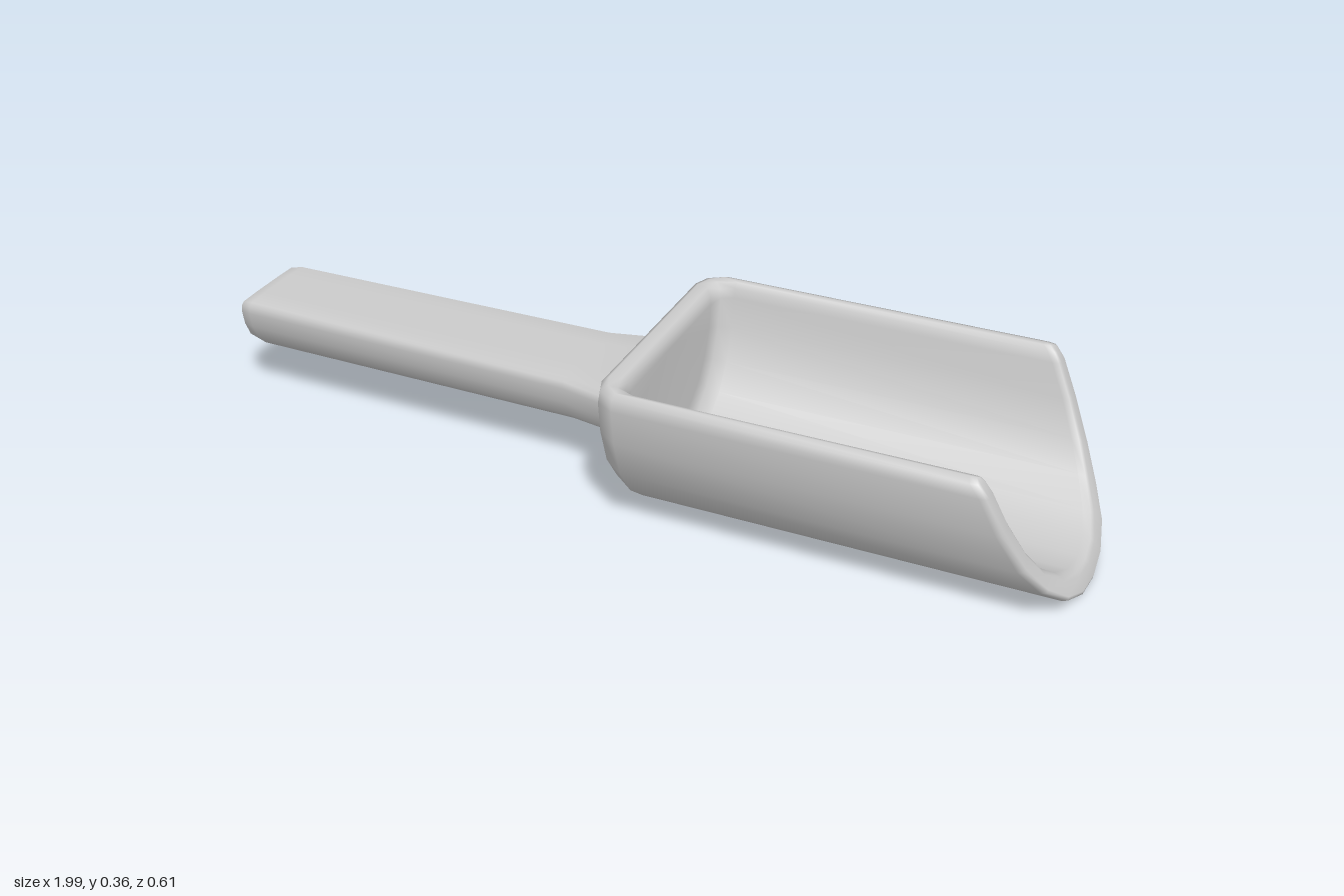
import * as THREE from 'three';
import { mergeVertices } from 'three/addons/utils/BufferGeometryUtils.js';

// Skin closed rings of [x, y, z] points; optionally bridge the two halves of the last ring.
function loft(rings, bridgeEnd = false) {
  const n = rings[0].length, index = [];
  for (let k = 0; k < rings.length - 1; k++) {
    for (let j = 0; j < n; j++) {
      const a = k * n + j, b = k * n + (j + 1) % n;
      index.push(a, a + n, b, b, a + n, b + n);
    }
  }
  if (bridgeEnd) {
    const o = (rings.length - 1) * n;
    for (let j = 0; j < n / 2 - 1; j++) {
      const a = o + j, b = a + 1, d = o + n - 1 - j, c = d - 1;
      index.push(a, d, b, b, d, c);
    }
  }
  let geo = new THREE.BufferGeometry();
  geo.setAttribute('position', new THREE.Float32BufferAttribute(rings.flat(2), 3));
  geo.setIndex(index);
  geo = mergeVertices(geo, 1e-5);
  geo.computeVertexNormals();
  return geo;
}

// Mirror a half profile (rim to keel) into a full U running from -z to +z.
const mirrorU = half => [
  ...half.map(([z, y]) => [-z, y]),
  ...half.slice(0, -1).reverse(),
];

// Piecewise-linear front lip: x for a given height.
const LIP = [[0, 1], [0.035, 0.985], [0.12, 0.928], [0.22, 0.877], [0.3, 0.842], [0.345, 0.82], [0.365, 0.8]];
function lipX(y) {
  const i = Math.max(1, LIP.findIndex(p => p[0] >= y));
  const [y0, x0] = LIP[i - 1], [y1, x1] = LIP[i];
  return x0 + (x1 - x0) * (y - y0) / (y1 - y0);
}

function bowlGeometry() {
  const outer = mirrorU([[0.285, 0.364], [0.302, 0.357], [0.305, 0.33], [0.295, 0.25], [0.265, 0.16],
    [0.215, 0.09], [0.155, 0.042], [0.08, 0.012], [0, 0.002]]);
  const inner = mirrorU([[0.276, 0.362], [0.268, 0.35], [0.262, 0.33], [0.25, 0.26], [0.222, 0.185],
    [0.183, 0.127], [0.125, 0.083], [0.065, 0.058], [0, 0.05]]);
  const crest = [0.015, 0.004];

  // Back wall: shrink the U towards the centre line, keeping the rounded top edge
  const shrink = (u, x, s, dir) => u.map(([z, y], j) => {
    const fromRim = Math.min(j, u.length - 1 - j);
    const shift = s < 1 ? dir * (crest[fromRim] ?? 0) : 0;
    return [x + shift, y >= 0.33 ? y : 0.33 + (y - 0.33) * s, z * s];
  });
  const rings = [
    [0, 0, 0.055, 0],
    [0, 0.8, 0.055, 0.8],
    [0.014, 0.92, 0.063, 0.94],
    [0.055, 1, 0.09, 1],
  ].map(([xo, so, xi, si]) => [...shrink(outer, xo, so, 1), ...shrink(inner, xi, si, -1).reverse()]);

  // Front lip: slanted cut with a softened edge
  for (const [inset, t] of [[0.018, 0], [0.004, 0.08], [0, 0.22]]) {
    const blend = (u, v) => u.map(([z, y], j) => {
      const zz = z + (v[j][0] - z) * t, yy = y + (v[j][1] - y) * t;
      return [lipX(yy) - inset, yy, zz];
    });
    rings.push([...blend(outer, inner), ...blend(inner, outer).reverse()]);
  }
  return loft(rings, true);
}

function handleGeometry() {
  // D section: flat top, rounded underside (z as part of half width, y from 0 to 1)
  const section = mirrorU([[0.45, 1], [0.9, 0.99], [0.98, 0.94], [1, 0.82], [0.95, 0.56],
    [0.8, 0.28], [0.6, 0.12], [0.32, 0.03], [0, 0]]);
  // Stations: x, half width, bottom, top
  const stations = [
    [-1, 0, 0.19, 0.19],
    [-1, 0.095, 0.14, 0.25],
    [-0.992, 0.107, 0.13, 0.257],
    [-0.965, 0.114, 0.123, 0.262],
    [-0.15, 0.122, 0.121, 0.262],
    [-0.02, 0.153, 0.118, 0.264],
    [-0.006, 0.165, 0.108, 0.275],
    [0.02, 0.18, 0.1, 0.285],
  ];
  return loft(stations.map(([x, w, b, t]) => section.map(([z, y]) => [x, b + (t - b) * y, z * w - 0.003])));
}

export function createModel() {
  const material = new THREE.MeshStandardMaterial({ color: 0xcccccc });
  const group = new THREE.Group();
  group.name = 'scoop';
  for (const [name, geometry] of [['bowl', bowlGeometry()], ['handle', handleGeometry()]]) {
    const mesh = new THREE.Mesh(geometry, material);
    mesh.name = name;
    group.add(mesh);
  }
  return group;
}
